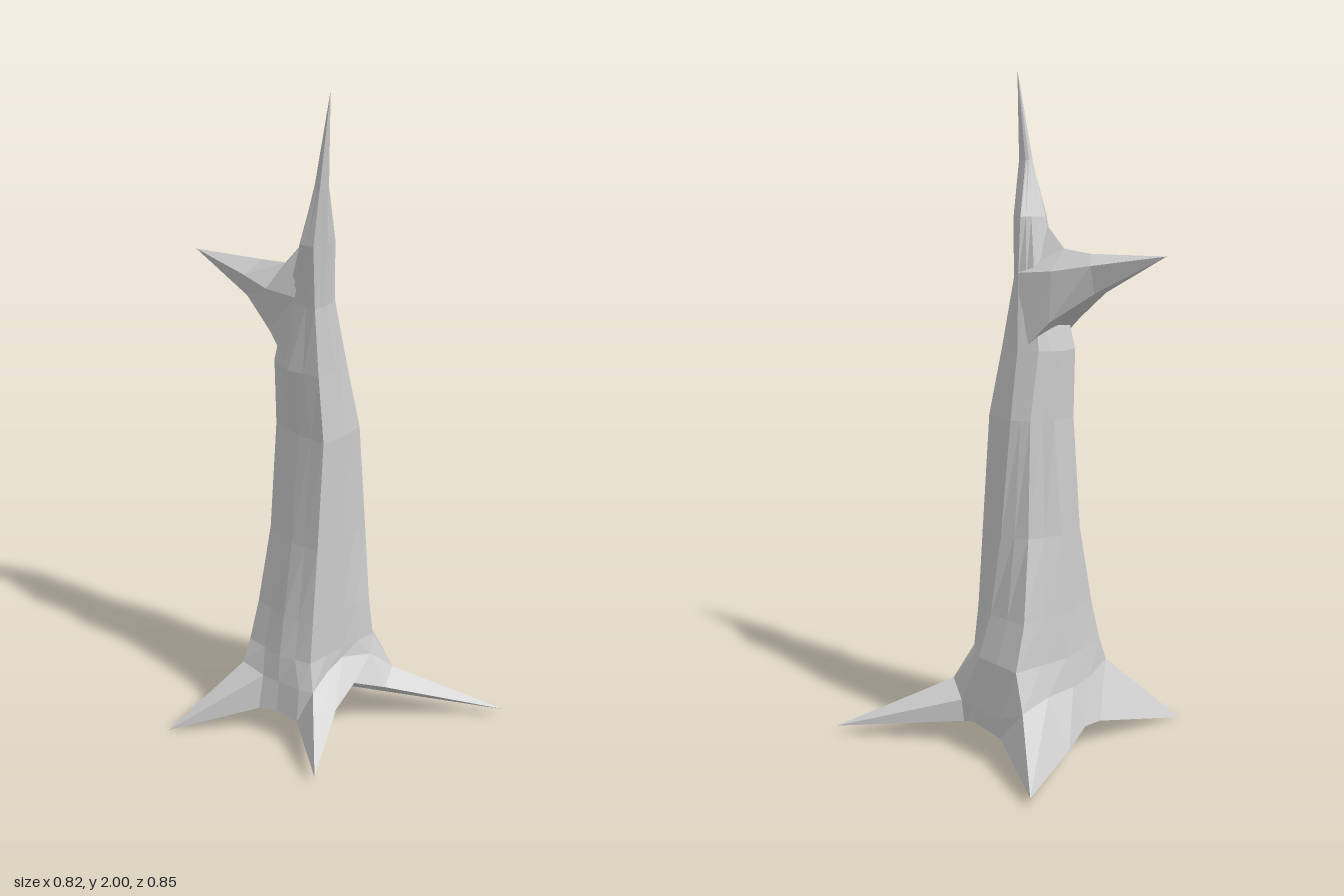
import * as THREE from 'three';

const material = new THREE.MeshStandardMaterial({ color: 0xcccccc, flatShading: true, side: THREE.DoubleSide });

// Skin a list of equal-length rings, closing either end to a point when given.
function loft(name, rings, startPoint, endPoint) {
  const n = rings[0].length, points = rings.flat(), index = [];
  for (let r = 0; r < rings.length - 1; r++) {
    for (let i = 0; i < n; i++) {
      const a = r * n + i, b = r * n + (i + 1) % n;
      index.push(a, b, b + n, a, b + n, a + n);
    }
  }
  const cap = (point, first, flip) => {
    if (!point) return;
    const c = points.push(point) - 1;
    for (let i = 0; i < n; i++) {
      const a = first + i, b = first + (i + 1) % n;
      index.push(...(flip ? [b, a, c] : [a, b, c]));
    }
  };
  const last = (rings.length - 1) * n;
  cap(startPoint, 0, true);
  cap(endPoint, last, false);
  const geometry = new THREE.BufferGeometry();
  geometry.setAttribute('position', new THREE.Float32BufferAttribute(points.flat(), 3));
  geometry.setIndex(index);
  const flat = geometry.toNonIndexed();
  flat.computeVertexNormals();
  const mesh = new THREE.Mesh(flat, material);
  mesh.name = name;
  return mesh;
}

// Horizontal trunk ring: eight [x, z] corners plus the midpoints between them.
function ring(y, corners) {
  return corners.flatMap(([x, z], i) => {
    const [u, w] = corners[(i + 1) % corners.length];
    return [[x, y, z], [(x + u) / 2, y, (z + w) / 2]];
  });
}

export function createModel() {
  const group = new THREE.Group();
  group.name = 'deadTree';

  // Star-shaped hem: four root tips with the hollows between them
  const hem = [
    [-0.28, 0.03, 0.26], [-0.11, 0.15, 0.18], [-0.02, 0.2, 0.17], [0.1, 0.14, 0.19],
    [0.41, 0.025, 0.425], [0.2, 0.075, 0.08], [0.21, 0.09, 0.03], [0.23, 0.08, -0.1],
    [0.37, 0.025, -0.35], [0.13, 0.065, -0.28], [0, 0.085, -0.23], [-0.08, 0.075, -0.22],
    [-0.41, 0, -0.27], [-0.21, 0.09, -0.06], [-0.19, 0.1, 0], [-0.18, 0.09, 0.08],
  ];
  // Ridge where the roots flow into the trunk
  const shoulder = [
    [-0.15, 0.2, 0.12], [-0.07, 0.235, 0.105], [0, 0.255, 0.1], [0.1, 0.235, 0.125],
    [0.16, 0.18, 0.165], [0.2, 0.14, 0.09], [0.21, 0.135, 0.02], [0.23, 0.14, -0.1],
    [0.23, 0.18, -0.19], [0.12, 0.2, -0.19], [0.01, 0.2, -0.19], [-0.09, 0.2, -0.17],
    [-0.2, 0.22, -0.14], [-0.19, 0.2, -0.06], [-0.18, 0.2, 0], [-0.17, 0.2, 0.08],
  ];
  // Trunk rings, from front right round by the front and left
  const trunk = [
    ring(0.29, [[-0.14, 0.1], [0, 0.1], [0.125, 0.11], [0.195, 0.02], [0.215, -0.15], [0.02, -0.175], [-0.17, -0.14], [-0.175, 0]]),
    ring(0.42, [[-0.13, 0.1], [0, 0.1], [0.115, 0.1], [0.165, 0], [0.17, -0.14], [0.03, -0.165], [-0.14, -0.13], [-0.155, 0]]),
    ring(0.66, [[-0.11, 0.1], [0, 0.1], [0.115, 0.08], [0.14, -0.02], [0.12, -0.11], [0.02, -0.15], [-0.09, -0.125], [-0.12, 0]]),
    ring(1.0, [[-0.085, 0.1], [0, 0.1], [0.085, 0.08], [0.115, -0.035], [0.09, -0.09], [0.03, -0.13], [-0.07, -0.115], [-0.09, 0]]),
    ring(1.2, [[-0.09, 0.085], [-0.02, 0.085], [0.05, 0.06], [0.08, -0.03], [0.055, -0.09], [0, -0.13], [-0.07, -0.12], [-0.11, -0.02]]),
    ring(1.4, [[-0.09, 0.07], [-0.05, 0.075], [0.01, 0.05], [0.045, 0], [0.03, -0.05], [-0.02, -0.07], [-0.07, -0.06], [-0.09, 0]]),
    ring(1.58, [[-0.1, 0.075], [-0.06, 0.09], [0, 0.06], [0.035, 0], [0.01, -0.02], [-0.04, -0.03], [-0.075, 0], [-0.11, 0.03]]),
    ring(1.74, [[-0.09, 0.09], [-0.07, 0.1], [-0.05, 0.085], [-0.04, 0.05], [-0.045, 0.04], [-0.06, 0.04], [-0.08, 0.06], [-0.09, 0.07]]),
  ];
  group.add(loft('trunkAndRoots', [hem, shoulder, ...trunk], [0, 0.12, 0], [-0.07, 2, 0.11]));

  // Broken branch pointing backwards; sections run top, left, lower left, lower right, right
  const branch = [
    [[-0.04, 1.57, -0.02], [-0.1, 1.42, 0], [-0.1, 1.22, -0.04], [0.07, 1.19, -0.03], [0.045, 1.42, 0]],
    [[-0.04, 1.49, -0.1], [-0.1, 1.42, -0.12], [-0.08, 1.29, -0.13], [0.05, 1.285, -0.125], [0.035, 1.43, -0.12]],
    [[-0.04, 1.48, -0.2], [-0.095, 1.44, -0.22], [-0.07, 1.37, -0.235], [-0.02, 1.37, -0.235], [0.005, 1.45, -0.24]],
  ];
  group.add(loft('brokenBranch', branch, null, [-0.1, 1.48, -0.425]));

  return group;
}
